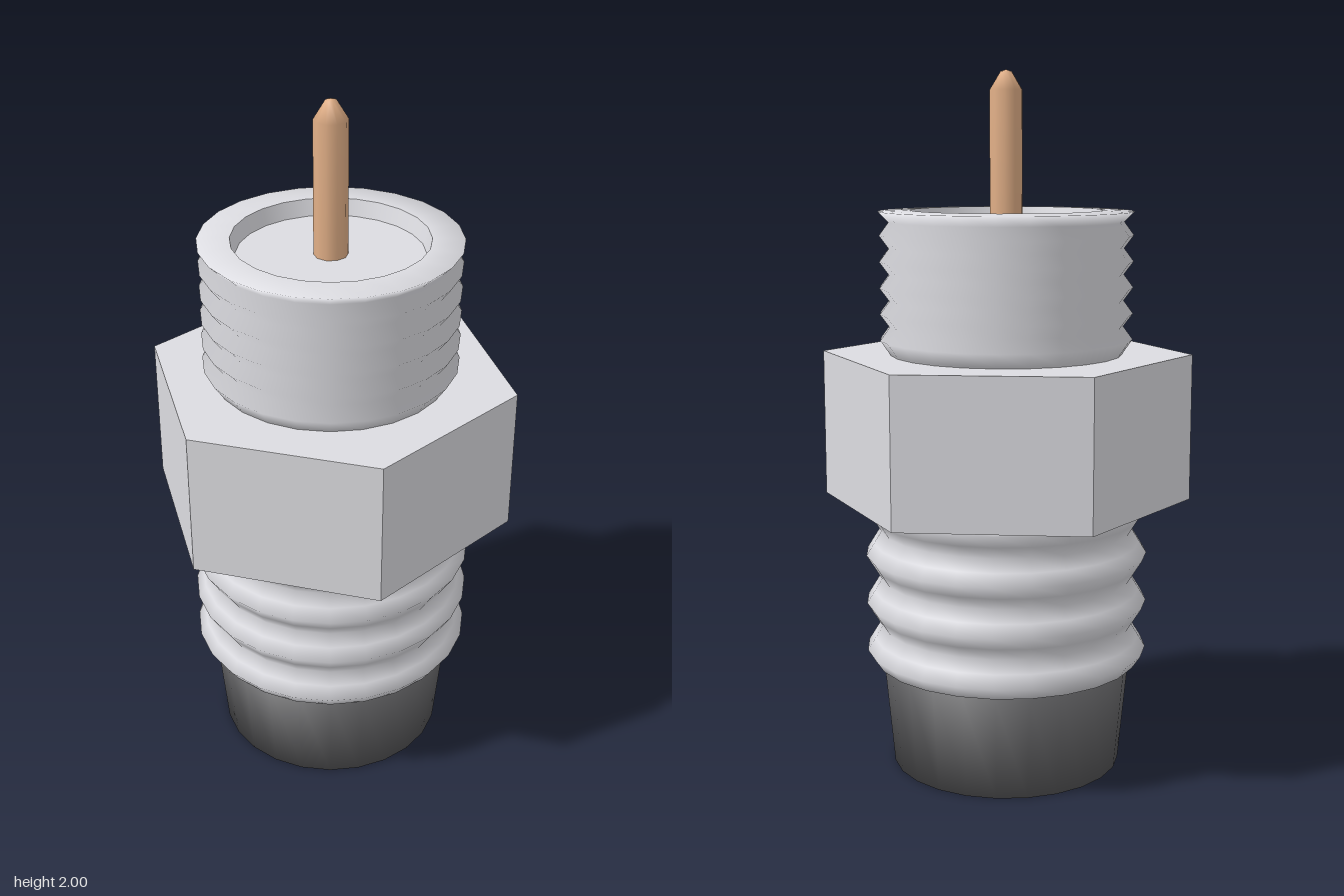
import * as THREE from 'three';

const material = (name, color) => new THREE.MeshStandardMaterial({ name, color });

export function createModel() {
  const steel = material('steel', 0xdcdce1);
  const rubber = material('darkRubber', 0x58585a);
  const copper = material('copper', 0xe0ae86);
  const model = new THREE.Group();
  model.name = 'coaxialConnector';

  const add = (name, geometry, mat, y = 0) => {
    const mesh = new THREE.Mesh(geometry, mat);
    mesh.name = name;
    mesh.position.y = y;
    model.add(mesh);
  };
  // Profiles run up the outside as [radius, height]
  const lathe = (points, sides) =>
    new THREE.LatheGeometry(points.map(([r, y]) => new THREE.Vector2(r, y)), sides);

  // Tapered plug at the base, shaded softly around its lower edge
  add('plug', lathe([[0, 0], [0.333, 0], [0.362, 0.31], [0, 0.32]], 24), rubber);

  // Lower collar with four rounded ridges
  const ridges = [[0.3, 0.31], [0.385, 0.31]];
  const pitch = 0.142;
  for (let i = 0; i <= 12; i++) {
    const wave = Math.cos((i / 4) * Math.PI * 2);
    ridges.push([0.387 + 0.022 * wave, 0.345 + (i / 4) * pitch]);
  }
  ridges.push([0.39, 0.78], [0, 0.781]);
  add('ridgedCollar', lathe(ridges, 24), steel);

  // Hexagonal nut, corners on the x axis
  const nut = new THREE.CylinderGeometry(0.53, 0.53, 0.42, 6).toNonIndexed();
  nut.rotateY(Math.PI / 2);
  nut.computeVertexNormals();
  add('hexNut', nut, steel, 1.0);

  // Upper threaded collar, sharp zigzag outside and a soft top rim
  const thread = [[0.33, 1.205], [0.335, 1.215]];
  for (let i = 0; i < 5; i++) {
    const y = 1.252 + i * 0.0735;
    thread.push([0.36, y], [0.333, y + 0.0367]);
  }
  thread.push([0.362, 1.612], [0.272, 1.615]);
  add('threadedCollar', lathe(thread, 24), steel);

  // Shallow recess with a crisp wall and flat floor
  add('recessWall', lathe([[0.272, 1.615], [0.258, 1.565]], 24), steel);
  const floor = new THREE.CircleGeometry(0.262, 24);
  floor.rotateX(-Math.PI / 2);
  add('recessFloor', floor, steel, 1.568);

  // Centre pin with a blunt tapered tip
  add('pin', lathe([[0.047, 1.5], [0.047, 1.945], [0.016, 1.995], [0, 2]], 10), copper);

  return model;
}
